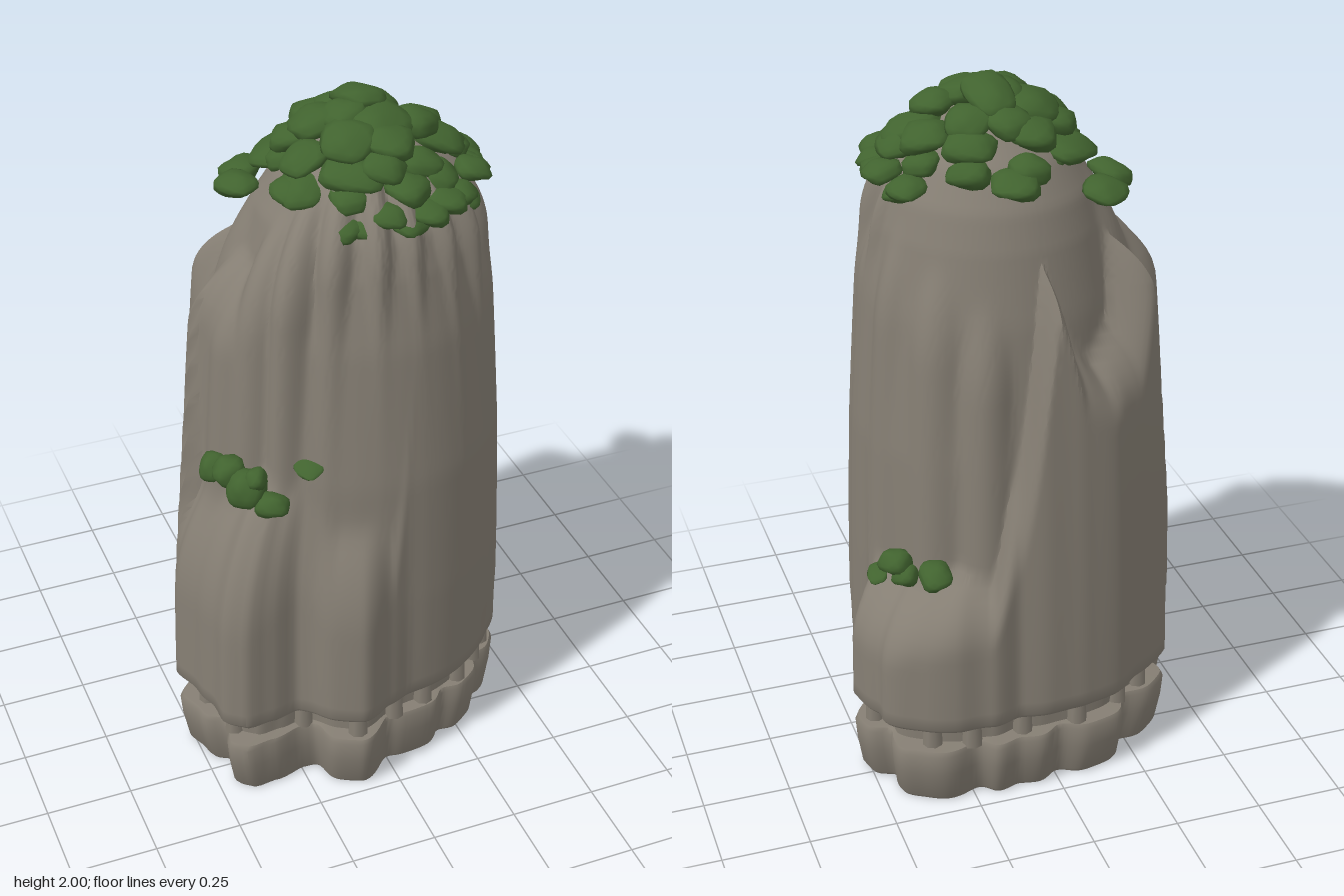
import * as THREE from 'three';
import { mergeVertices, toCreasedNormals } from 'three/addons/utils/BufferGeometryUtils.js';

const CX = 0.05, CZ = 0.02; // vertical axis of the rock
const polar = (x, z) => ({ angle: Math.atan2(z - CZ, x - CX), radius: Math.hypot(x - CX, z - CZ) });

// Outline of the foot: x, z, height where that side closes, length of its rounded top
const FOOT = [
  [-0.02, -0.485, 1.63, 0.2], [-0.10, -0.465, 1.45, 0.3], [-0.19, -0.44, 1.36, 0.25], [-0.30, -0.365, 1.45, 0.3],
  [-0.39, -0.285, 1.65, 0.25], [-0.405, -0.19, 1.6, 0.35], [-0.48, -0.04, 1.62, 0.25], [-0.54, 0.05, 1.15, 0.6],
  [-0.545, 0.09, 1.15, 0.6], [-0.515, 0.17, 1.15, 0.6], [-0.505, 0.25, 1.15, 0.6], [-0.49, 0.345, 1.2, 0.65],
  [-0.435, 0.39, 1.2, 0.65], [-0.36, 0.385, 1.2, 0.6], [-0.275, 0.37, 1.25, 0.6], [-0.19, 0.45, 1.1, 0.55],
  [-0.11, 0.49, 1.1, 0.55], [-0.01, 0.455, 1.2, 0.6], [0.09, 0.38, 1.8, 0.4], [0.24, 0.345, 1.8, 0.4],
  [0.32, 0.295, 1.8, 0.4], [0.43, 0.19, 1.8, 0.4], [0.465, 0.09, 1.8, 0.4], [0.435, -0.03, 1.78, 0.4],
  [0.455, -0.1, 0.9, 0.4], [0.54, -0.21, 0.74, 0.3], [0.505, -0.33, 0.74, 0.3], [0.50, -0.38, 0.74, 0.3],
  [0.40, -0.445, 0.76, 0.28], [0.31, -0.485, 0.78, 0.28], [0.21, -0.49, 0.8, 0.3], [0.12, -0.465, 1.2, 0.5]
].map(([x, z, top, dome]) => ({ ...polar(x, z), top, dome })).sort((a, b) => a.angle - b.angle);

// Columns rising behind the low shoulders: x, z, angular half width, top, dome length
const COLUMNS = [
  [-0.38, -0.15, 0.45, 1.88, 0.55], [-0.46, -0.02, 0.3, 1.68, 0.3], [-0.45, 0.1, 0.3, 1.68, 0.35],
  [-0.40, 0.19, 0.26, 1.84, 0.45], [-0.32, 0.29, 0.22, 1.88, 0.4], [-0.18, 0.36, 0.22, 1.9, 0.3],
  [-0.03, 0.405, 0.2, 1.92, 0.3], [0.1, 0.4, 0.18, 1.93, 0.28], [0.24, 0.365, 0.18, 1.92, 0.28],
  [0.36, 0.29, 0.18, 1.92, 0.3], [0.45, 0.15, 0.18, 1.92, 0.32], [0.45, 0.02, 0.18, 1.9, 0.34],
  [0.45, -0.12, 0.3, 1.84, 0.5], [0.35, -0.3, 0.34, 1.78, 0.5], [0.2, -0.4, 0.3, 1.7, 0.5]
].map(([x, z, width, top, dome]) => ({ ...polar(x, z), width, top, dome }));

// Taper of the inner core: height, radius
const CORE = [[0, 0.4], [0.6, 0.4], [1, 0.39], [1.4, 0.35], [1.6, 0.31], [1.7, 0.28],
  [1.8, 0.22], [1.88, 0.14], [1.93, 0]];

function coreRadius(y) {
  for (let i = 1; i < CORE.length; i++) {
    const [y0, r0] = CORE[i - 1], [y1, r1] = CORE[i];
    if (y <= y1) return r0 + (r1 - r0) * (y - y0) / (y1 - y0);
  }
  return 0;
}

// Foot values in a direction, eased between neighbouring outline points
function footAt(angle) {
  const n = FOOT.length, tau = Math.PI * 2;
  const wrap = a => ((a % tau) + tau) % tau;
  const i = FOOT.findIndex((f, k) => wrap(angle - f.angle) < wrap(FOOT[(k + 1) % n].angle - f.angle));
  const a = FOOT[i], b = FOOT[(i + 1) % n];
  const t = wrap(angle - a.angle) / wrap(b.angle - a.angle);
  const s = 0.5 * t + 0.5 * t * t * (3 - 2 * t);
  return ['radius', 'top', 'dome'].map(k => a[k] + (b[k] - a[k]) * s);
}

// Inward lean of a wall and its rounded top
function wallFactor(y, top, dome) {
  const t = Math.max(0, (y - top + dome) / dome), h = y - 0.25;
  return t >= 1 ? 0 : Math.sqrt(1 - t * t) * (1 - 0.03 * h - 0.06 * h * h);
}

// Notches between the scallops of the foot, 0 to 1
const notch = angle => Math.pow(0.5 - 0.5 * Math.cos(13 * angle + 0.6 * Math.sin(2 * angle)), 3);

// Rock radius in a direction: soft maximum of core, foot wall and columns
function rockRadius(angle, height) {
  const y = Math.max(height, 0.25), p = 40;
  const [radius, top, dome] = footAt(angle);
  const foot = radius * (1 - 0.02 * notch(angle)) * wallFactor(y, top, dome);
  let sum = Math.pow(coreRadius(y), p) + Math.pow(foot, p);
  for (const c of COLUMNS) {
    const d = Math.atan2(Math.sin(angle - c.angle), Math.cos(angle - c.angle)) / c.width;
    // columns stay buried at the foot so that the outline decides there
    const r = c.radius * wallFactor(y, c.top, c.dome) * (1 - 0.25 * d * d) * (y < 0.4 ? 0.93 + 0.4 * (y - 0.25) : 0.99);
    if (r > 0) sum += Math.pow(r, p);
  }
  return Math.pow(sum, 1 / p);
}

function createRock() {
  // Rows: height and scale, from the flat underside over the slab and groove to the summit
  const rows = [[0, 0], [0, 0.94], [0.012, 0.955], [0.1, 0.985], [0.165, 0.995], [0.178, 0.98],
    [0.181, 0.89], [0.246, 0.89], [0.248, 0.98], [0.262, 1]];
  for (let y = 0.3; y < 1.45; y += 0.03) rows.push([y, 1]);
  for (let y = 1.45; y < 1.93; y += 0.015) rows.push([y, 1]);
  rows.push([1.93, 0]);
  const n = 280, pos = [], index = [];
  rows.forEach(([y, s], i) => {
    for (let j = 0; j < n; j++) {
      const a = j / n * Math.PI * 2;
      const r = rockRadius(a, y) * s * (y < 0.18 ? 1 - 0.07 * notch(a) : 1);
      pos.push(CX + Math.cos(a) * r, y, CZ + Math.sin(a) * r);
      if (i === rows.length - 1) continue;
      const k = (j + 1) % n, p = i * n + j, q = i * n + k;
      index.push(p, p + n, q, p + n, q + n, q);
    }
  });
  const g = new THREE.BufferGeometry();
  g.setAttribute('position', new THREE.Float32BufferAttribute(pos, 3));
  g.setIndex(index);
  return toCreasedNormals(g, 0.85);
}

// Lumpy unit pebble used for every leaf clump
function createClumpGeometry() {
  let g = new THREE.IcosahedronGeometry(1, 2);
  g.deleteAttribute('normal');
  g.deleteAttribute('uv');
  g = mergeVertices(g, 1e-3);
  const p = g.attributes.position, v = new THREE.Vector3();
  for (let i = 0; i < p.count; i++) {
    v.fromBufferAttribute(p, i);
    v.multiplyScalar(1 + 0.1 * Math.sin(3 * v.x + 1) * Math.cos(4 * v.z) + 0.07 * Math.sin(5 * v.y + 3 * v.x));
    p.setXYZ(i, v.x, v.y, v.z);
  }
  g.computeVertexNormals();
  return g;
}

export function createModel() {
  const model = new THREE.Group();
  const rock = new THREE.MeshStandardMaterial({ name: 'warm grey rock', color: 0x857e73 });
  const green = new THREE.MeshStandardMaterial({ name: 'leaf green', color: 0x41632f });
  let seed = 7;
  const rand = () => (seed = (seed * 16807) % 2147483647) / 2147483647;

  const pillar = new THREE.Mesh(createRock(), rock);
  pillar.name = 'rockPillar';
  model.add(pillar);

  // Short stone posts standing in the groove
  const posts = new THREE.Group();
  posts.name = 'groovePosts';
  const postGeometry = new THREE.CylinderGeometry(0.026, 0.03, 0.08, 8);
  for (let i = 0; i < 20; i++) {
    const a = (i + 0.5 * rand()) / 20 * Math.PI * 2, r = rockRadius(a, 0.25) * 0.9;
    const post = new THREE.Mesh(postGeometry, rock);
    post.name = 'groovePost';
    post.position.set(CX + Math.cos(a) * r, 0.213, CZ + Math.sin(a) * r);
    posts.add(post);
  }
  model.add(posts);

  const clump = createClumpGeometry();
  const addClump = (group, x, y, z, size, thick, tilt = 0.25) => {
    const m = new THREE.Mesh(clump, green);
    m.name = 'leafClump';
    m.position.set(x, y, z);
    m.scale.set(size * (0.9 + 0.3 * rand()), thick, size * (0.8 + 0.3 * rand()));
    // lean outwards, away from the axis, after a random spin
    const a = Math.atan2(z - CZ, x - CX);
    const axis = new THREE.Vector3(Math.sin(a), 0, -Math.cos(a));
    m.quaternion.setFromAxisAngle(axis, tilt)
      .multiply(new THREE.Quaternion().setFromAxisAngle(new THREE.Vector3(0, 1, 0), rand() * 6.28));
    group.add(m);
  };

  // Bushes over the summit in rings: height, ring radius, count, clump size
  const summit = new THREE.Group();
  summit.name = 'summitBushes';
  for (const [y, ring, count, size] of [[1.945, 0.06, 3, 0.08], [1.915, 0.13, 6, 0.078],
    [1.865, 0.185, 9, 0.07], [1.81, 0.23, 10, 0.058]]) {
    for (let i = 0; i < count; i++) {
      const a = (i + 0.6 * rand()) / count * Math.PI * 2, r = ring * (0.92 + 0.16 * rand());
      addClump(summit, 0.07 + Math.cos(a) * r, y + 0.03 * (rand() - 0.5), 0.02 + Math.sin(a) * r,
        size * (0.85 + 0.3 * rand()), 0.03 + 0.008 * rand(), 0.3);
    }
  }
  // Lower fringe along the front and left flank
  for (let i = 0; i < 14; i++) {
    const a = -0.5 + i * 0.2, r = 0.27 + 0.03 * rand();
    addClump(summit, 0.07 + Math.cos(a) * r, 1.755 + 0.06 * (rand() - 0.5), 0.01 + Math.sin(a) * r * 0.93,
      0.044 + 0.015 * rand(), 0.028);
  }
  // Stray bushes at the back right
  for (const [x, y, z, s] of [[-0.25, 1.725, -0.11, 0.065], [-0.2, 1.715, -0.21, 0.062], [0.06, 1.78, -0.24, 0.07],
    [-0.17, 1.79, 0.09, 0.055], [-0.13, 1.81, -0.1, 0.08]]) addClump(summit, x, y, z, s, 0.032);
  model.add(summit);

  // Bushes on the shoulders of the low buttresses
  const ledges = new THREE.Group();
  ledges.name = 'ledgeBushes';
  for (const [x, y, z, s, t] of [[-0.42, 1.0, 0.13, 0.05, 0.04], [-0.4, 1.03, 0.2, 0.05, 0.04],
    [-0.37, 1.0, 0.26, 0.06, 0.055], [-0.32, 0.97, 0.32, 0.045, 0.035], [-0.35, 1.04, 0.28, 0.035, 0.03],
    [-0.21, 1.065, 0.315, 0.038, 0.01], [0.33, 0.7, -0.35, 0.05, 0.03], [0.42, 0.71, -0.26, 0.045, 0.035],
    [0.4, 0.68, -0.29, 0.035, 0.03], [0.455, 0.645, -0.2, 0.036, 0.01]]) addClump(ledges, x, y, z, s, t, 0.45);
  model.add(ledges);

  return model;
}
